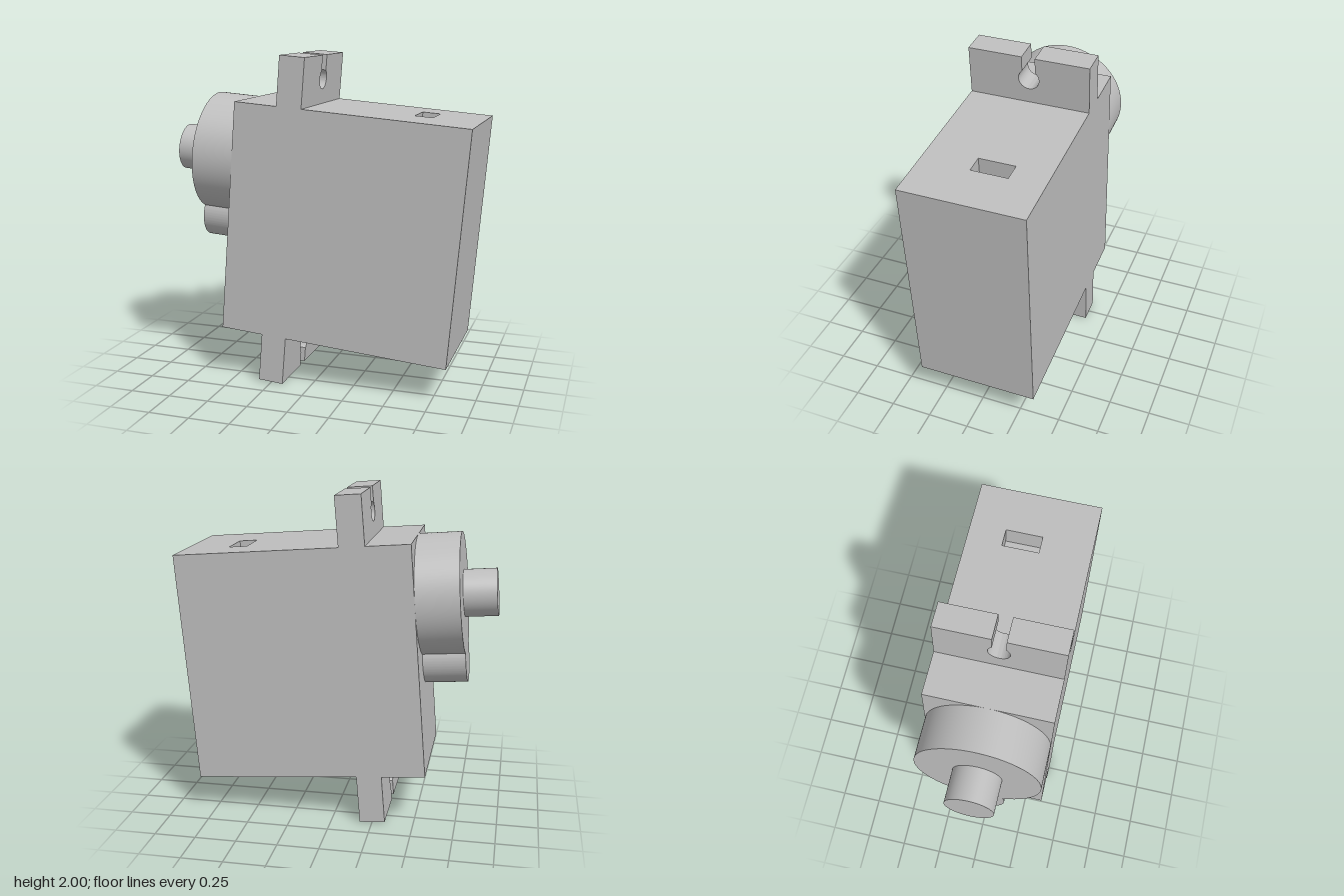
import * as THREE from 'three';
import { toCreasedNormals } from 'three/addons/utils/BufferGeometryUtils.js';

const W = 1.41, H = 1.404, D = 0.735; // body size
const POCKET = 0.12;

export function createModel() {
  const plastic = new THREE.MeshStandardMaterial({ color: 0xbfbfbf });
  plastic.name = 'grey plastic';

  const model = new THREE.Group();
  model.name = 'servoMotor';
  const servo = new THREE.Group();
  servo.name = 'tiltedServo';
  servo.rotation.z = THREE.MathUtils.degToRad(-4.5);
  servo.position.set(0.19, 0.972, 0);
  model.add(servo);

  const add = (name, geometry) => {
    const mesh = new THREE.Mesh(geometry, plastic);
    mesh.name = name;
    servo.add(mesh);
    return mesh;
  };
  const extrude = (shape, depth) => toCreasedNormals(
    new THREE.ExtrudeGeometry(shape, { depth, bevelEnabled: false, curveSegments: 48 }), 0.5);
  // Extrudes a (z, y) outline along x, between x0 and x1
  const extrudeX = (shape, x0, x1) =>
    extrude(shape, x1 - x0).rotateY(Math.PI / 2).translate(x0, 0, 0);

  // Case: lower block, and a top layer pierced by the cable pocket
  add('case', new THREE.BoxGeometry(W, H - POCKET, D).translate(0, -POCKET / 2, 0));
  const top = new THREE.Shape([[-W / 2, -D / 2], [W / 2, -D / 2], [W / 2, D / 2], [-W / 2, D / 2]]
    .map(p => new THREE.Vector2(...p)));
  top.holes.push(new THREE.Path([[0.312, -0.065], [0.312, 0.155], [0.422, 0.155], [0.422, -0.065]]
    .map(p => new THREE.Vector2(...p))));
  add('caseTopWithPocket', extrude(top, POCKET).rotateX(-Math.PI / 2).translate(0, H / 2 - POCKET, 0));

  // Mounting ears with keyhole slots open at the tip
  const r = 0.063, slot = 0.04, holeY = 0.855, tip = 0.997;
  const a = Math.acos(slot / r);
  const ear = new THREE.Shape();
  ear.moveTo(-D / 2, H / 2);
  ear.lineTo(D / 2, H / 2);
  ear.lineTo(D / 2, tip);
  ear.lineTo(slot, tip);
  ear.absarc(0, holeY, r, a, Math.PI - a, true);
  ear.lineTo(-slot, tip);
  ear.lineTo(-D / 2, tip);
  ear.closePath();
  add('topEar', extrudeX(ear, -0.442, -0.288));
  add('bottomEar', extrudeX(ear, 0.288, 0.442)).rotation.z = Math.PI;

  // Gear housing: large round boss merged with a smaller one below
  const housing = new THREE.Shape();
  housing.absarc(0, 0.335, 0.367, -1.15, Math.PI + 1.15, false);
  housing.absarc(0, -0.056, 0.16, Math.PI - 0.357, 2 * Math.PI + 0.357, false);
  add('gearHousing', extrudeX(housing, -0.963, -W / 2));

  // Output shaft
  add('outputShaft', new THREE.CylinderGeometry(0.143, 0.143, 0.2, 64)
    .rotateZ(Math.PI / 2).translate(-1.062, 0.333, 0));

  return model;
}
